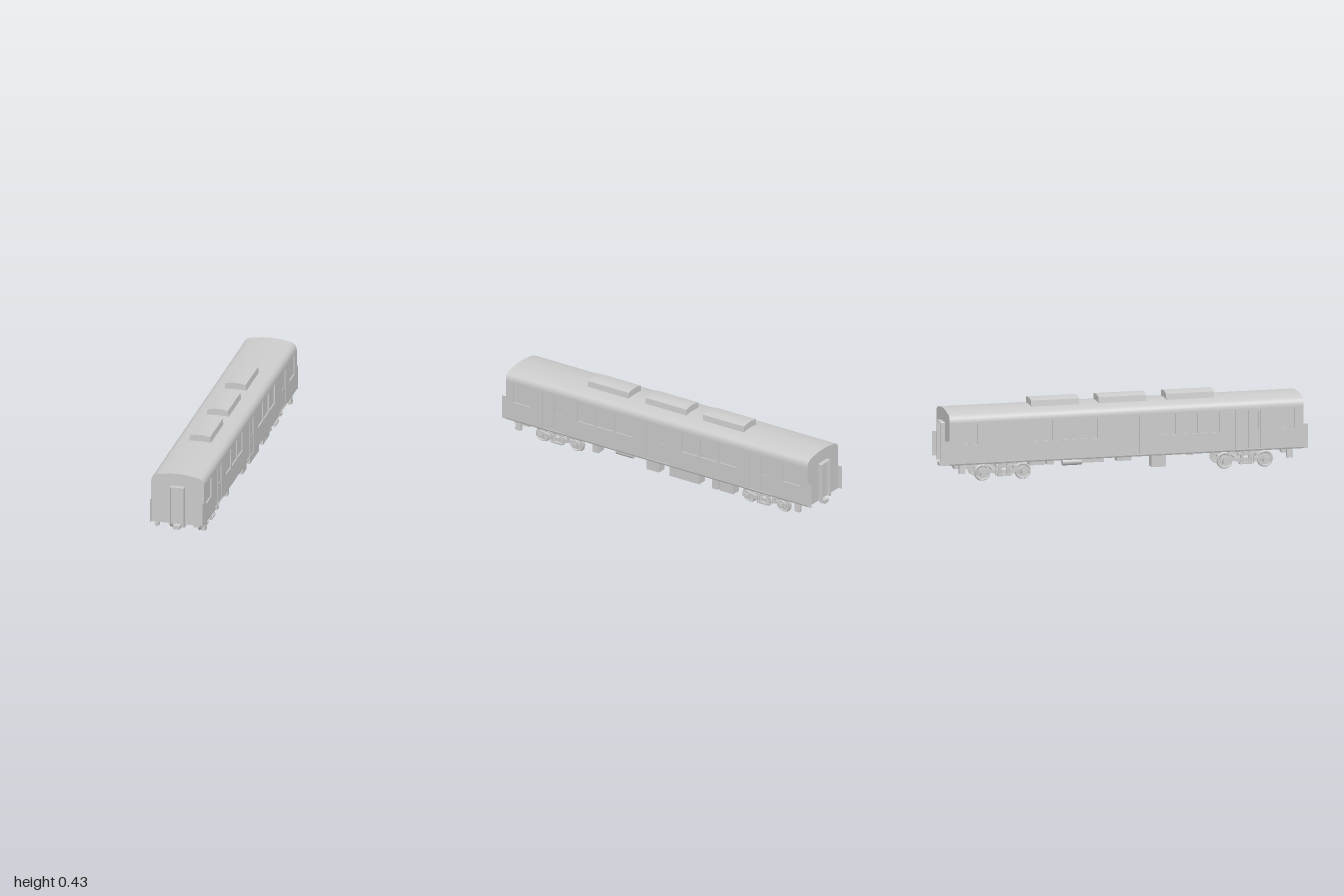
import * as THREE from 'three';
import { toCreasedNormals } from 'three/addons/utils/BufferGeometryUtils.js';

const mat = new THREE.MeshStandardMaterial({ color: 0xcccccc, side: THREE.DoubleSide });

function add(parent, name, geo) {
  const mesh = new THREE.Mesh(geo, mat);
  mesh.name = name;
  parent.add(mesh);
  return mesh;
}

// Box given by its limits on each axis
function box(parent, name, x0, x1, y0, y1, z0, z1) {
  const geo = new THREE.BoxGeometry(x1 - x0, y1 - y0, z1 - z0);
  geo.translate((x0 + x1) / 2, (y0 + y1) / 2, (z0 + z1) / 2);
  return add(parent, name, geo);
}

// Cylinder along x, y or z
function rod(parent, name, axis, r, length, x, y, z) {
  const geo = new THREE.CylinderGeometry(r, r, length, 20);
  if (axis === 'x') geo.rotateZ(Math.PI / 2);
  if (axis === 'z') geo.rotateX(Math.PI / 2);
  return add(parent, name, geo.translate(x, y, z));
}

const poly = (pts) => new THREE.Shape(pts.map(([x, y]) => new THREE.Vector2(x, y)));
const rect = (x0, x1, y0, y1) => poly([[x0, y0], [x1, y0], [x1, y1], [x0, y1]]);

// Half outline (x >= 0, bottom to top) mirrored and extruded along z
function symmetricPrism(half, z0, z1) {
  const left = half.filter(([x]) => x > 0).reverse().map(([x, y]) => [-x, y]);
  const geo = new THREE.ExtrudeGeometry(poly([...half, ...left]), { depth: z1 - z0, bevelEnabled: false });
  return toCreasedNormals(geo.translate(0, 0, z0), 0.5);
}

// Outline in the side plane, extruded outwards along +x from x0
function sidePlate(shape, x0, depth) {
  const geo = new THREE.ExtrudeGeometry(shape, { depth, bevelEnabled: false });
  return geo.rotateY(Math.PI / 2).translate(x0, 0, 0);
}

// Side wall with windows and doors, for the +x side
function buildSide() {
  const side = new THREE.Group();
  const wall = rect(-0.975, 0.975, 0.112, 0.337);
  const windows = [];
  for (const c of [0.215, 0.335, 0.46, 0.873]) windows.push(c, -c);
  for (const c of windows) wall.holes.push(rect(c - 0.054, c + 0.054, 0.215, 0.325));
  const doors = [-0.67, 0, 0.67];
  for (const c of doors) wall.holes.push(rect(c - 0.07, c + 0.07, 0.116, 0.328));
  add(side, 'sideWall', sidePlate(wall, 0.139, 0.0065));
  for (const c of doors) {
    add(side, 'doorLeaf', sidePlate(rect(c - 0.068, c - 0.001, 0.116, 0.328), 0.139, 0.003));
    const leaf = rect(c + 0.001, c + 0.068, 0.116, 0.328);
    leaf.holes.push(rect(c + 0.012, c + 0.056, 0.22, 0.315));
    add(side, 'windowedDoorLeaf', sidePlate(leaf, 0.139, 0.003));
    box(side, 'doorHandle', 0.141, 0.1445, 0.198, 0.204, -c - 0.014, -c - 0.006);
  }
  // thin corner panels reaching past both ends
  for (const s of [-1, 1]) {
    const z = s * 0.9875;
    box(side, 'cornerPanel', 0.1437, 0.1455, 0.106, 0.238, z - 0.0125, z + 0.0125);
  }
  return side;
}

// Wheel with flange towards the centre line, outer face at x = 0.086
function wheelGeometry() {
  const profile = [[0, -0.003], [0.012, -0.003], [0.013, 0.003], [0.033, 0.003], [0.036, 0], [0.041, 0],
    [0.0425, 0.009], [0.0455, 0.011], [0.045, 0.014], [0.035, 0.014], [0.032, 0.011], [0, 0.011]];
  const geo = new THREE.LatheGeometry(profile.map(([r, t]) => new THREE.Vector2(r, t)), 32);
  return toCreasedNormals(geo.rotateZ(Math.PI / 2).translate(0.086, 0, 0), 0.5);
}

// One outer side of a bogie, +x
function buildBogieSide() {
  const side = new THREE.Group();
  const wheel = wheelGeometry();
  const frame = poly([[-0.135, 0.048], [-0.135, 0.064], [-0.115, 0.072], [-0.085, 0.068], [-0.05, 0.06],
    [0.05, 0.06], [0.085, 0.068], [0.115, 0.072], [0.135, 0.064], [0.135, 0.048], [0.09, 0.052],
    [0.045, 0.04], [-0.045, 0.04], [-0.09, 0.052]]);
  add(side, 'sideFrame', sidePlate(frame, 0.094, 0.012));
  for (const z of [-0.111, 0.111]) {
    add(side, 'wheel', wheel).position.set(0, 0.0455, z);
    box(side, 'axleBox', 0.09, 0.112, 0.032, 0.06, z - 0.015, z + 0.015);
    rod(side, 'axleCap', 'x', 0.009, 0.005, 0.114, 0.0455, z);
    for (const d of [-0.024, 0.024]) {
      rod(side, 'axleSpring', 'y', 0.007, 0.026, 0.1, 0.049, z + d);
    }
  }
  // central suspension
  box(side, 'springPlank', 0.09, 0.118, 0.028, 0.038, -0.036, 0.036);
  for (const z of [-0.022, 0.022]) {
    rod(side, 'bolsterSpring', 'y', 0.009, 0.05, 0.106, 0.06, z);
    box(side, 'swingLink', 0.108, 0.114, 0.032, 0.075, z * 1.9 - 0.003, z * 1.9 + 0.003);
  }
  box(side, 'bolsterEnd', 0.088, 0.12, 0.08, 0.089, -0.045, 0.045);
  rod(side, 'airSpring', 'y', 0.026, 0.018, 0.1, 0.097, 0);
  box(side, 'brakeCylinder', 0.088, 0.108, 0.066, 0.082, -0.073, -0.052);
  return side;
}

function buildBogie() {
  const bogie = new THREE.Group();
  bogie.name = 'bogie';
  for (const turn of [0, Math.PI]) {
    const side = buildBogieSide();
    side.name = 'bogieSide';
    side.rotation.y = turn;
    bogie.add(side);
  }
  for (const z of [-0.111, 0.111]) rod(bogie, 'axle', 'x', 0.009, 0.2, 0, 0.0455, z);
  box(bogie, 'bolster', -0.1, 0.1, 0.07, 0.088, -0.026, 0.026);
  rod(bogie, 'centrePivot', 'y', 0.025, 0.025, 0, 0.095, 0);
  for (const z of [-0.045, 0.045]) rod(bogie, 'transom', 'x', 0.008, 0.2, 0, 0.055, z);
  return bogie;
}

// Everything attached to the +z end
function buildEnd() {
  const end = new THREE.Group();
  end.name = 'carEnd';
  const arch = poly([[0.04, 0.105], [0.04, 0.318], [0.036, 0.322], [-0.036, 0.322], [-0.04, 0.318], [-0.04, 0.105],
    [-0.036, 0.105], [-0.036, 0.317], [0.036, 0.317], [0.036, 0.105]]);
  const frame = new THREE.ExtrudeGeometry(arch, { depth: 0.026, bevelEnabled: false });
  add(end, 'gangwayFrame', frame.translate(0, 0, 0.974));
  box(end, 'gangwayDoor', -0.03, 0.03, 0.108, 0.308, 0.97, 0.977);
  // coupler
  box(end, 'couplerMount', -0.024, 0.024, 0.06, 0.105, 0.885, 0.92);
  box(end, 'couplerShank', -0.011, 0.011, 0.084, 0.097, 0.91, 0.985);
  box(end, 'couplerHead', -0.018, 0.018, 0.08, 0.1, 0.965, 1.0);
  // underfloor end box and flared steps
  box(end, 'endBox', 0.078, 0.113, 0.078, 0.106, 0.845, 0.94);
  for (const s of [-1, 1]) {
    const step = poly([[s * 0.12, 0.055], [s * 0.139, 0.055], [s * 0.135, 0.106], [s * 0.12, 0.106]]);
    const geo = new THREE.ExtrudeGeometry(step, { depth: 0.034, bevelEnabled: false });
    add(end, 'footStep', geo.translate(0, 0, 0.885));
  }
  return end;
}

export function createModel() {
  const car = new THREE.Group();
  car.name = 'railwayCarriage';

  // body core with rounded roof; the sides are rebated for the wall panels
  add(car, 'body', symmetricPrism([[0.142, 0.104], [0.1455, 0.112], [0.139, 0.112], [0.139, 0.337],
    [0.1455, 0.337], [0.1445, 0.348], [0.141, 0.358], [0.135, 0.367], [0.126, 0.374], [0.112, 0.379],
    [0.085, 0.384], [0.045, 0.39], [0, 0.392]], -0.975, 0.975));

  // roof units
  for (const z of [-0.372, 0, 0.372]) {
    add(car, 'roofUnit', symmetricPrism([[0.061, 0.38], [0.056, 0.42], [0.028, 0.426], [0, 0.428]],
      z - 0.132, z + 0.132));
  }

  // sides and ends repeat under a half turn
  for (const turn of [0, Math.PI]) {
    const side = buildSide();
    side.name = 'carSide';
    const end = buildEnd();
    side.rotation.y = end.rotation.y = turn;
    car.add(side, end);
  }

  for (const z of [-0.667, 0.667]) {
    const bogie = buildBogie();
    bogie.position.z = z;
    car.add(bogie);
  }

  // underfloor equipment: x0, x1, bottom, z0, z1
  const cases = [[0.075, 0.13, 0.052, 0.388, 0.424], [0.07, 0.125, 0.04, 0, 0.08],
    [0.07, 0.125, 0.04, -0.26, -0.07], [0.07, 0.125, 0.04, -0.385, -0.345],
    [0.07, 0.125, 0.04, -0.48, -0.395], [-0.135, -0.075, 0.04, 0.14, 0.22]];
  for (const [x0, x1, y, z0, z1] of cases) box(car, 'equipmentCase', x0, x1, y, 0.106, z0, z1);
  for (const s of [-1, 1]) {
    const z = s > 0 ? 0.232 : -0.292;
    rod(car, 'airTank', 'z', 0.019, 0.106, s * 0.1, 0.086, z);
    for (const d of [-0.03, 0.03]) {
      box(car, 'tankHanger', s * 0.1 - 0.012, s * 0.1 + 0.012, 0.095, 0.106, z + d - 0.003, z + d + 0.003);
    }
  }
  return car;
}
